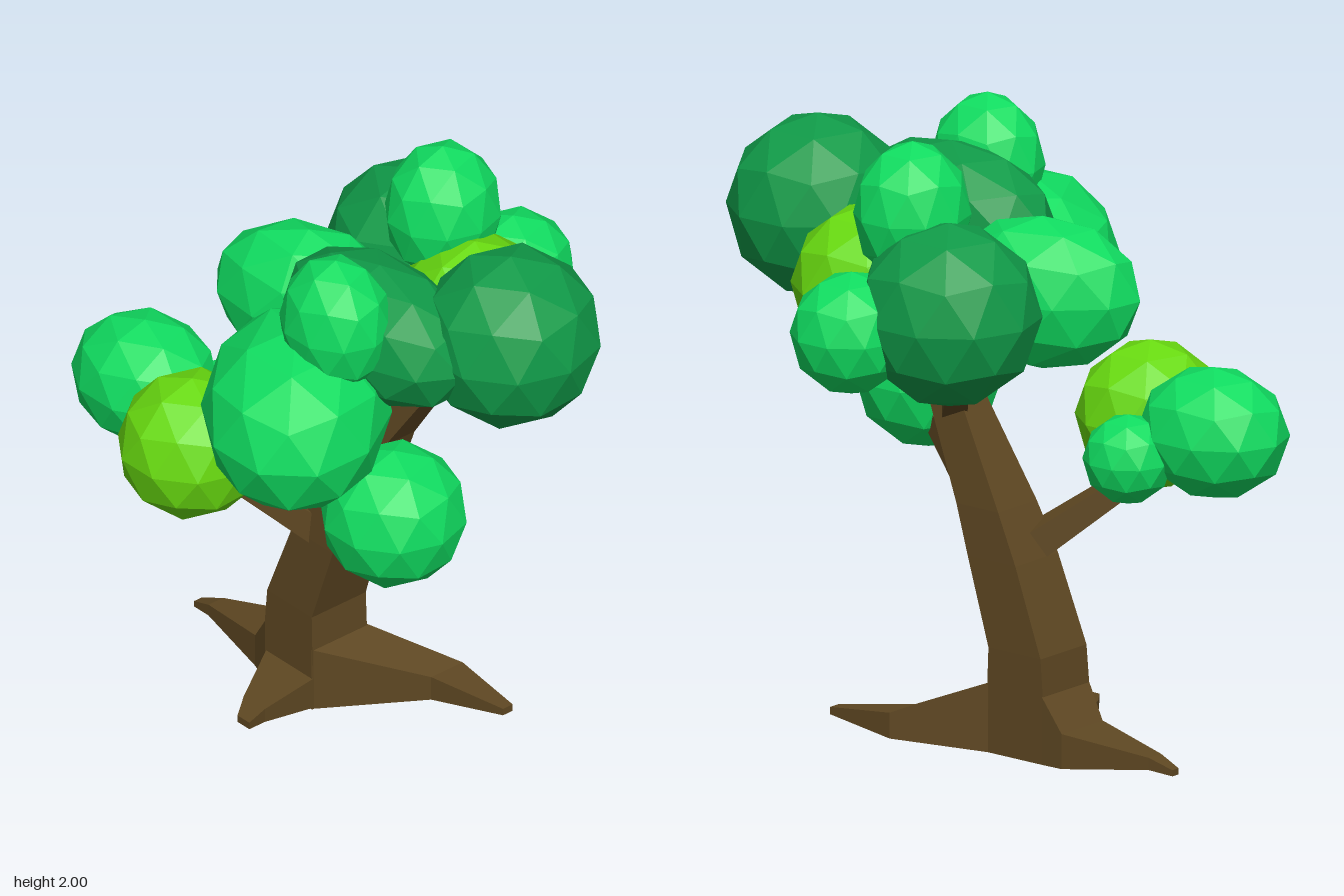
import * as THREE from 'three';

const material = (name, color) => {
  const m = new THREE.MeshStandardMaterial({ color });
  m.name = name;
  return m;
};

const X = new THREE.Vector3(1, 0, 0);
const Y = new THREE.Vector3(0, 1, 0);
const Z = new THREE.Vector3(0, 0, 1);

// Faceted four-sided limb. Each ring is [x, y, z, halfU, halfV]; u cross v points along the limb.
function limb(rings, u, v) {
  const corners = rings.map(([x, y, z, hu, hv]) =>
    [[-1, -1], [1, -1], [1, 1], [-1, 1]].map(([a, b]) =>
      new THREE.Vector3(x, y, z).addScaledVector(u, a * hu).addScaledVector(v, b * hv)));
  const points = [];
  const quad = (a, b, c, d) => points.push(a, b, c, a, c, d);
  for (let i = 0; i < corners.length - 1; i++) {
    const low = corners[i], high = corners[i + 1];
    for (let k = 0; k < 4; k++) {
      const n = (k + 1) % 4;
      quad(low[k], low[n], high[n], high[k]);
    }
  }
  const first = corners[0], last = corners[corners.length - 1];
  quad(first[3], first[2], first[1], first[0]);
  quad(...last);
  const geometry = new THREE.BufferGeometry().setFromPoints(points);
  geometry.computeVertexNormals();
  return geometry;
}

// Straight tapered branch with a square section
function branch(from, to, w0, w1) {
  const d = new THREE.Vector3(...to).sub(new THREE.Vector3(...from)).normalize();
  const u = new THREE.Vector3().crossVectors(Y, d).normalize();
  const v = new THREE.Vector3().crossVectors(d, u);
  return limb([[...from, w0, w0], [...to, w1, w1]], u, v);
}

export function createModel() {
  const tree = new THREE.Group();
  tree.name = 'tree';
  const bark = material('bark brown', 0x5e4722);
  const light = material('light green', 0x10dc60);
  const dark = material('dark green', 0x109a48);
  const lime = material('lime green', 0x68da10);

  const add = (name, geometry, mat) => {
    const mesh = new THREE.Mesh(geometry, mat);
    mesh.name = name;
    tree.add(mesh);
    return mesh;
  };

  // Leaning trunk
  add('trunk', limb([
    [-0.198, 0, -0.015, 0.115, 0.113],
    [-0.198, 0.22, -0.014, 0.113, 0.113],
    [-0.195, 0.34, -0.014, 0.112, 0.106],
    [-0.095, 0.62, -0.014, 0.104, 0.097],
    [-0.03, 0.78, -0.016, 0.094, 0.085],
    [0.13, 1.1, -0.018, 0.06, 0.068],
    [0.43, 1.52, -0.065, 0.034, 0.04],
  ], Z, X), bark);

  // Roots
  add('rightRoot', limb([
    [-0.31, 0.11, -0.015, 0.115, 0.11],
    [-0.39, 0.058, -0.03, 0.1, 0.057],
    [-0.67, 0.05, -0.01, 0.03, 0.02],
    [-0.75, 0.03, -0.005, 0.015, 0.01],
  ], Z, Y), bark);
  add('leftRoot', limb([
    [-0.09, 0.11, -0.015, 0.11, 0.115],
    [0.16, 0.08, -0.245, 0.042, 0.065],
    [0.41, 0.08, -0.28, 0.012, 0.02],
  ], Y, Z), bark);
  add('frontRoot', limb([
    [-0.197, 0.06, 0.09, 0.113, 0.055],
    [-0.13, 0.066, 0.3, 0.05, 0.024],
    [-0.09, 0.07, 0.38, 0.028, 0.012],
  ], X, Y), bark);

  // Branches
  add('lowerRightBranch', branch([-0.11, 0.63, 0.02], [-0.4, 0.9, 0.31], 0.05, 0.03), bark);
  add('lowerLeftBranch', branch([0.01, 0.79, -0.02], [0.42, 1.0, 0.17], 0.055, 0.03), bark);
  add('backBranch', branch([0.13, 1.06, -0.03], [-0.13, 1.32, -0.32], 0.04, 0.032), bark);
  add('frontBranch', branch([0.11, 1.06, 0], [0.17, 1.26, 0.25], 0.04, 0.03), bark);

  // Leaf clumps: name, colour, centre, radii, turn about y
  const ball = new THREE.IcosahedronGeometry(1, 1);
  ball.rotateX(-Math.atan2(1 + Math.sqrt(5), 2)); // one vertex at the top
  ball.computeVertexNormals();
  const clumps = [
    ['lowerRightOuterLeaves', light, [-0.65, 1.05, 0.3], [0.255, 0.212, 0.215], 0],
    ['lowerRightLimeLeaves', lime, [-0.3, 1.02, 0.41], [0.235, 0.242, 0.24], 0],
    ['lowerRightBackLeaves', light, [-0.46, 0.97, 0.11], [0.145, 0.145, 0.14], 0],
    ['upperLeftLeaves', dark, [0.62, 1.65, -0.11], [0.285, 0.295, 0.292], 0],
    ['frontLeaves', light, [0.22, 1.415, 0.43], [0.3, 0.297, 0.41], Math.PI / 4],
    ['lowerLeftLeaves', light, [0.453, 1.05, 0.23], [0.233, 0.235, 0.235], 0],
    ['upperRightLeaves', light, [-0.17, 1.475, 0.04], [0.325, 0.248, 0.2], 0.35],
    ['centreLeaves', dark, [0.29, 1.63, 0.145], [0.39, 0.23, 0.215], 0],
    ['backRightLeaves', dark, [-0.14, 1.49, -0.38], [0.3, 0.298, 0.285], 0],
    ['backLeaves', light, [0.085, 1.435, -0.585], [0.19, 0.198, 0.2], 0],
    ['topBackLeaves', light, [0.067, 1.765, -0.31], [0.183, 0.235, 0.19], 0],
    ['topFrontLeaves', light, [0.307, 1.74, 0.343], [0.19, 0.23, 0.17], 0],
    ['backLimeLeaves', lime, [0.26, 1.495, -0.275], [0.255, 0.26, 0.258], 0],
  ];
  for (const [name, mat, centre, radii, turn] of clumps) {
    const mesh = add(name, ball, mat);
    mesh.position.set(...centre);
    mesh.scale.set(...radii);
    mesh.rotation.y = turn;
  }
  return tree;
}
